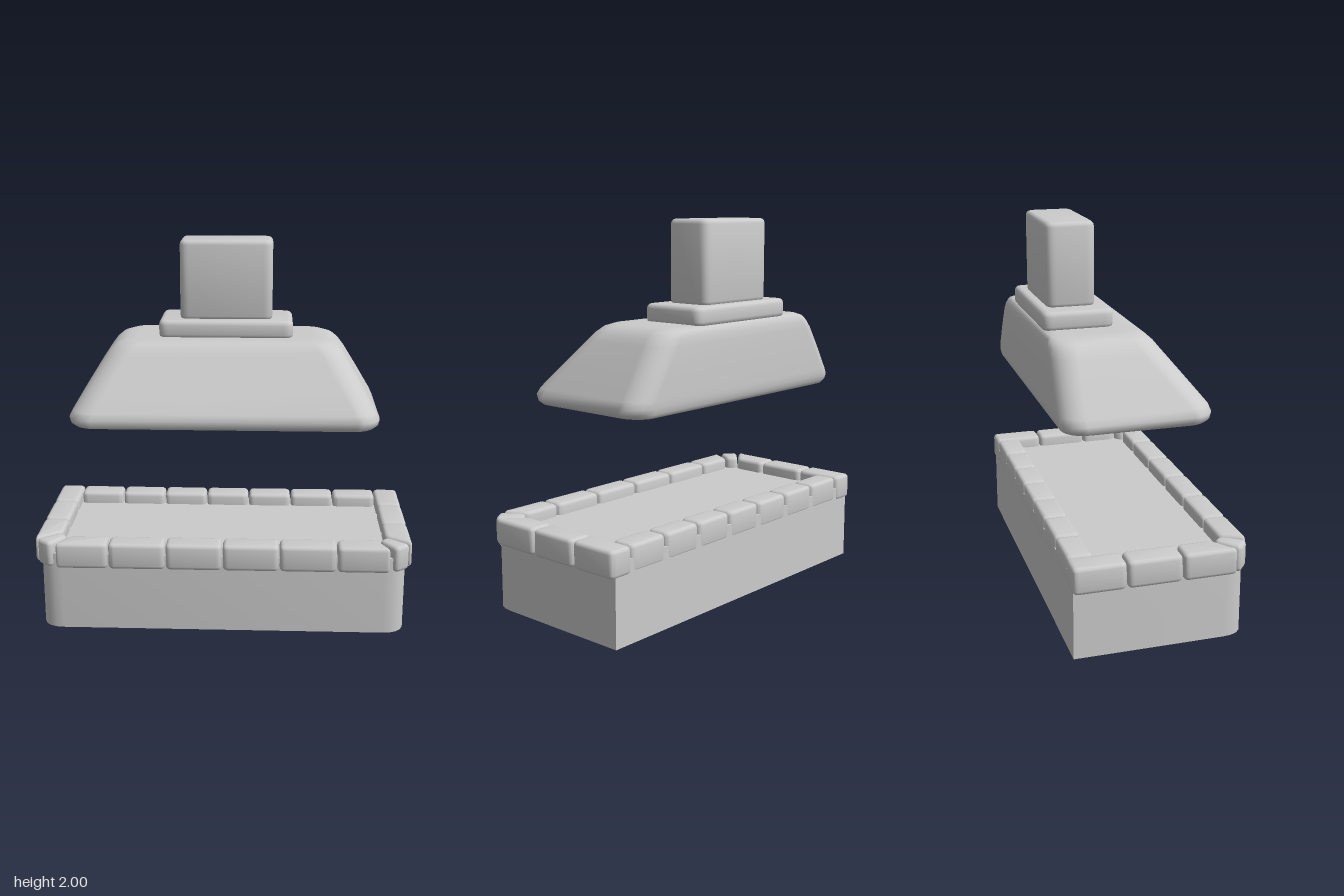
import * as THREE from 'three';
import { toCreasedNormals, mergeVertices } from 'three/addons/utils/BufferGeometryUtils.js';

const grey = new THREE.MeshStandardMaterial({ color: 0xcccccc });

function add(group, name, geometry) {
  const mesh = new THREE.Mesh(geometry, grey);
  mesh.name = name;
  group.add(mesh);
}

// Upright block from a plan outline of [x, z] corners; radii round the plan corners, bevel softens the rims
function block(points, y0, y1, radii, bevel) {
  const pts = points.map(([x, z]) => new THREE.Vector2(x, z));
  const n = pts.length;
  const shape = new THREE.Shape();
  pts.forEach((p, i) => {
    const r = Array.isArray(radii) ? radii[i] : radii;
    const toward = (q) => p.clone().add(q.clone().sub(p).setLength(r));
    const a = r ? toward(pts[(i + n - 1) % n]) : p;
    const b = r ? toward(pts[(i + 1) % n]) : p;
    if (i === 0) shape.moveTo(a.x, a.y);
    else shape.lineTo(a.x, a.y);
    if (r) shape.quadraticCurveTo(p.x, p.y, b.x, b.y);
  });
  shape.closePath();
  const geometry = new THREE.ExtrudeGeometry(shape, {
    depth: y1 - y0 - 2 * bevel,
    bevelEnabled: bevel > 0,
    bevelThickness: bevel,
    bevelSize: bevel,
    bevelOffset: -bevel,
    bevelSegments: 3,
    curveSegments: 5,
  });
  geometry.rotateX(Math.PI / 2).translate(0, y1 - bevel, 0);
  return toCreasedNormals(geometry, 0.75);
}

const rect = (x0, x1, z0, z1) => [[x0, z0], [x1, z0], [x1, z1], [x0, z1]];

// Smooth skin over rounded-rectangle sections: [y, half width, back z, front z, corner radius]
function loft(sections, steps) {
  const positions = [];
  const index = [];
  const ring = 4 * (steps + 1);
  for (const [y, w, zb, zf, r] of sections) {
    const centres = [[w - r, zf - r], [-w + r, zf - r], [-w + r, zb + r], [w - r, zb + r]];
    centres.forEach(([cx, cz], q) => {
      for (let k = 0; k <= steps; k++) {
        const a = (q + k / steps) * Math.PI / 2;
        positions.push(cx + r * Math.cos(a), y, cz + r * Math.sin(a));
      }
    });
  }
  for (let s = 0; s < sections.length - 1; s++) {
    for (let i = 0; i < ring; i++) {
      const a = s * ring + i;
      const b = s * ring + (i + 1) % ring;
      index.push(a, a + ring, b, b, a + ring, b + ring);
    }
  }
  // Flat caps
  const last = (sections.length - 1) * ring;
  for (let i = 1; i < ring - 1; i++) {
    index.push(0, i, i + 1, last, last + i + 1, last + i);
  }
  const geometry = new THREE.BufferGeometry();
  geometry.setAttribute('position', new THREE.Float32BufferAttribute(positions, 3));
  geometry.setIndex(index);
  const welded = mergeVertices(geometry, 1e-4);
  welded.computeVertexNormals();
  return welded;
}

export function createModel() {
  const model = new THREE.Group();
  model.name = 'forge';

  // Hearth body with rounded front corners and its filled top
  add(model, 'hearthBase', block(rect(-0.97, 0.97, -0.46, 0.435), 0, 0.425, [0, 0, 0.12, 0.12], 0));

  // Stone rim around the hearth
  const rim = new THREE.Group();
  rim.name = 'stoneRim';
  model.add(rim);
  const stone = (name, outline) => add(rim, name, block(outline, 0.35, 0.49, 0.03, 0.02));

  const frontEdges = [0.003, 0.302, 0.605, 0.89];
  for (const side of [1, -1]) {
    const mirror = (outline) => outline.map(([x, z]) => [side * x, z]);
    for (let i = 0; i < 3; i++) {
      const x0 = frontEdges[i];
      const x1 = frontEdges[i + 1] - 0.005;
      const inner = i === 2 ? 0.82 : x1; // end stones are cut on the diagonal
      stone('frontStone', mirror([[x0, 0.33], [inner, 0.33], [x1, 0.46], [x0, 0.46]]));
    }
    stone('sideStone', mirror(rect(0.863, 1, -0.467, -0.198)));
    stone('sideStone', mirror(rect(0.863, 1, -0.192, 0.085)));
    stone('sideStone', mirror([[0.863, 0.092], [1, 0.092], [1, 0.375], [0.863, 0.275]]));
    stone('cornerStone', mirror([[0.875, 0.285], [0.99, 0.385], [0.91, 0.452], [0.828, 0.335]]));
  }
  const backCount = 7;
  const backWidth = 1.726 / backCount;
  for (let i = 0; i < backCount; i++) {
    const x0 = -0.863 + i * backWidth;
    stone('backStone', rect(x0 + 0.003, x0 + backWidth - 0.003, -0.462, -0.33));
  }

  // Smoke hood: sloped front and sides, upright back
  add(model, 'hood', loft([
    [1.065, 0.68, -0.36, 0.20, 0.06],
    [1.065, 0.76, -0.42, 0.27, 0.10],
    [1.072, 0.79, -0.44, 0.295, 0.11],
    [1.09, 0.812, -0.453, 0.31, 0.12],
    [1.12, 0.818, -0.46, 0.315, 0.12],
    [1.155, 0.80, -0.462, 0.303, 0.12],
    [1.28, 0.725, -0.462, 0.205, 0.12],
    [1.40, 0.65, -0.46, 0.11, 0.12],
    [1.44, 0.62, -0.455, 0.08, 0.12],
    [1.468, 0.585, -0.447, 0.05, 0.11],
    [1.482, 0.54, -0.43, 0.015, 0.10],
    [1.485, 0.48, -0.39, -0.04, 0.07],
  ], 6));

  // Collar and chimney
  add(model, 'chimneyCollar', block(rect(-0.367, 0.362, -0.442, -0.075), 1.475, 1.575, 0.05, 0.025));
  add(model, 'chimney', block(rect(-0.255, 0.25, -0.395, -0.14), 1.565, 2, 0.05, 0.025));

  return model;
}
